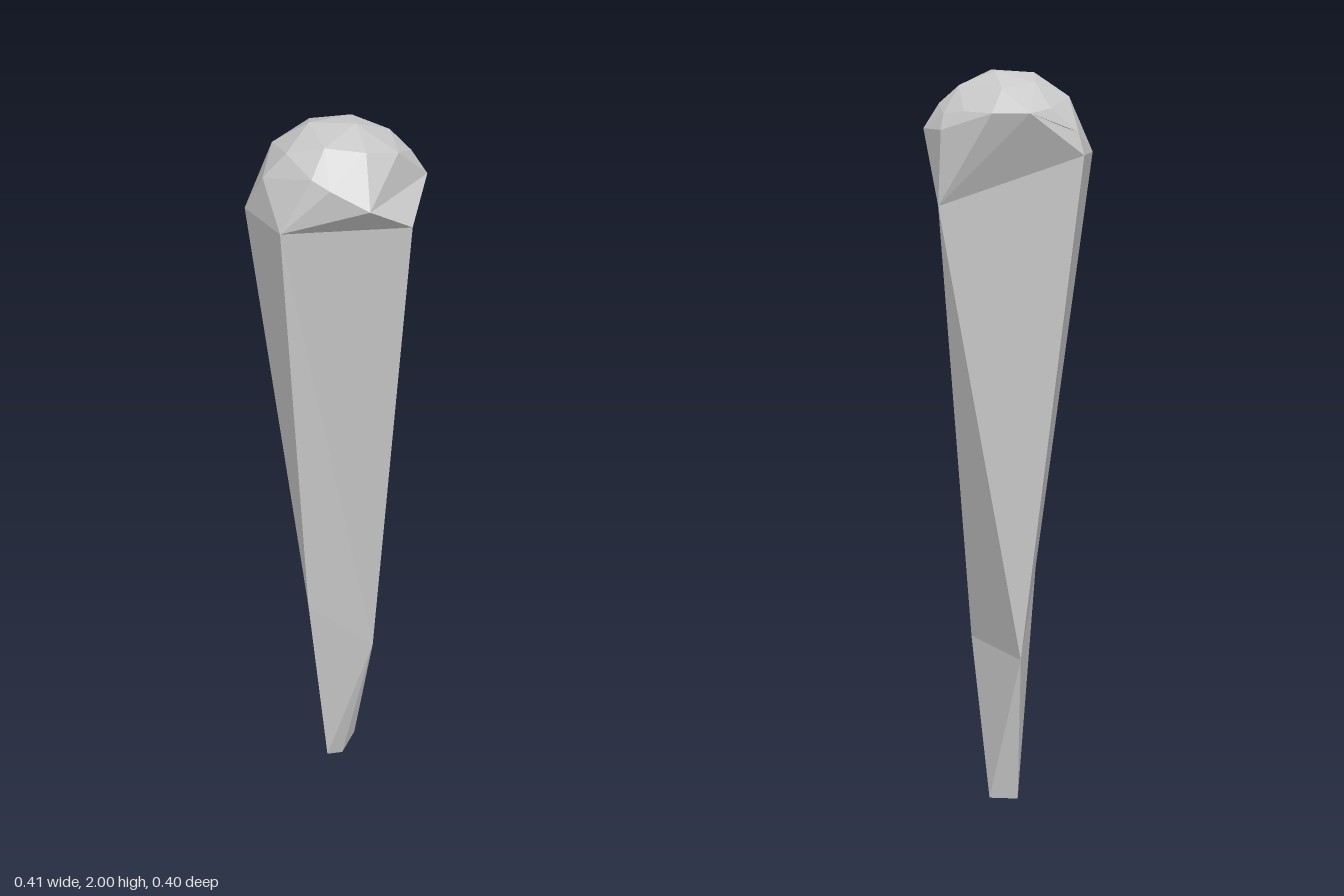
import * as THREE from 'three';
import { ConvexGeometry } from 'three/addons/geometries/ConvexGeometry.js';

// Corners of the tapered shaft: chipped tip, waist and shoulder
const shaft = {
  tip: [0.01, 0, 0.01], tipL: [-0.045, 0.03, 0.028], tipR: [0.065, 0.03, -0.03], tipB: [0, 0.04, -0.08],
  waistF: [0.075, 0.48, 0.08], waistB: [0.01, 0.48, -0.125], waistL: [-0.11, 0.66, 0.062],
  shFL: [-0.18, 1.8, 0.11], shFR: [0.11, 1.8, 0.18], shR: [0.205, 1.68, -0.065],
  shB: [-0.125, 1.8, -0.19], shL: [-0.21, 1.8, -0.055],
};

// Rim of the rounded head, overhanging the shoulder
const rim = {
  rF: [0, 1.86, 0.197], rR: [0.205, 1.86, 0.04], rBR: [0.197, 1.86, -0.068],
  rB1: [0.105, 1.9, -0.17], rB2: [0.02, 1.9, -0.2], rB3: [-0.04, 1.91, -0.18], rB4: [-0.113, 1.855, -0.18],
};

const corners = { ...shaft, ...rim };

// Flat triangles from "a b c" corner names
function facets(list) {
  const pos = list.flatMap((f) => f.split(' ').flatMap((name) => corners[name]));
  const geo = new THREE.BufferGeometry();
  geo.setAttribute('position', new THREE.Float32BufferAttribute(pos, 3));
  geo.computeVertexNormals();
  return geo;
}

export function createModel() {
  const group = new THREE.Group();
  group.name = 'taperedStone';
  const stone = new THREE.MeshStandardMaterial({ color: 0xc8c8c8 });
  const add = (name, geo) => {
    const mesh = new THREE.Mesh(geo, stone);
    mesh.name = name;
    group.add(mesh);
  };

  add('tip', facets(['tipR tip tipB', 'tipB tip tipL']));

  // Long facets, going round from the front to the right, back and left
  add('shaft', facets([
    'shFL waistL waistF', 'shFL waistF shFR', 'waistL tipL waistF', 'tipL tip waistF', 'tip tipR waistF',
    'waistF shR shFR', 'waistF waistB shR', 'waistF tipR waistB', 'tipR tipB waistB',
    'waistB shB shR', 'waistB waistL shB', 'shB waistL shL',
    'waistB tipB waistL', 'tipB tipL waistL', 'shL waistL shFL',
  ]));

  // Undercut facets between shoulder and head
  add('collar', facets([
    'shFL shFR rF', 'shFR rR rF', 'shFR shR rR', 'shR rBR rR', 'shR rB1 rBR',
    'shR rB2 rB1', 'shR shB rB2', 'shB rB3 rB2', 'shB rB4 rB3', 'shB shL rB4',
  ]));

  // Facet corners of the head in plan (x, z), lifted onto a sphere
  const R = 0.213;
  const dome = [
    [-0.06, -0.03], [0.045, -0.035], [0.03, 0.03], [-0.135, 0.03], [-0.065, 0.085],
    [0.125, 0], [0.165, 0.035], [0.105, 0.1], [0.02, 0.12], [-0.03, -0.11],
    [0.06, -0.12], [-0.13, -0.085], [0.15, -0.1], [0.18, -0.04], [-0.185, 0.01],
    [-0.11, 0.125], [-0.08, 0.16],
  ].map(([x, z]) => [x, 1.79 + Math.sqrt(R * R - x * x - z * z), z]);
  const headPoints = [...dome, ...Object.values(rim), shaft.shFL, shaft.shL];
  add('roundedHead', new ConvexGeometry(headPoints.map((p) => new THREE.Vector3(...p))));

  return group;
}
